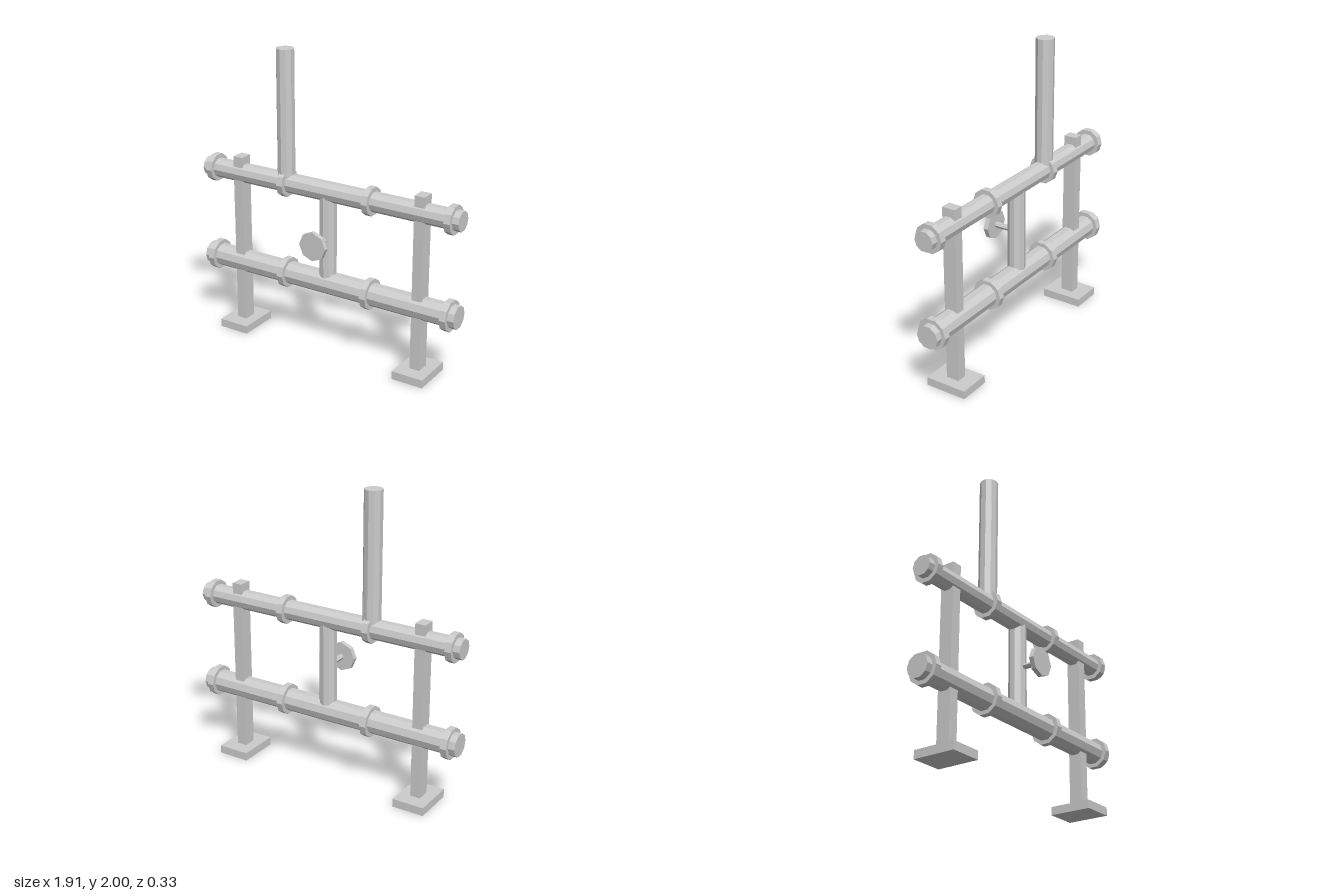
import * as THREE from 'three';

export function createModel() {
  const model = new THREE.Group();
  model.name = 'pipeRack';
  const steel = new THREE.MeshStandardMaterial({ color: 0xcccccc, flatShading: true });
  steel.name = 'grey steel';
  const Z = -0.022; // plane in which the pipework stands

  const add = (name, geometry, x, y, z = Z) => {
    const mesh = new THREE.Mesh(geometry, steel);
    mesh.name = name;
    mesh.position.set(x, y, z);
    model.add(mesh);
    return mesh;
  };
  const alongX = (r, length) => new THREE.CylinderGeometry(r, r, length, 10).rotateZ(Math.PI / 2);
  const upright = (name, x, y0, y1, r) =>
    add(name, new THREE.CylinderGeometry(r, r, y1 - y0, 10), x, (y0 + y1) / 2);

  // Two horizontal pipes, each with four flange rings
  const pipes = [
    { name: 'lower', y: 0.477, r: 0.077, ring: 0.104 },
    { name: 'upper', y: 1.113, r: 0.066, ring: 0.095 },
  ];
  for (const p of pipes) {
    add(p.name + 'Pipe', alongX(p.r, 1.91), 0, p.y);
    for (const x of [-0.89, -0.318, 0.318, 0.89]) {
      add(p.name + 'Flange', alongX(p.ring, 0.043), x, p.y);
    }
  }

  // Tall riser and the short connecting pipe
  upright('riserPipe', -0.32, 1.113, 2, 0.06);
  upright('connectingPipe', 0, 0.477, 1.113, 0.058);

  // Square posts on foot plates
  for (const side of [-1, 1]) {
    add('supportPost', new THREE.BoxGeometry(0.07, 1.18, 0.09), side * 0.681, 0.64);
    add('footPlate', new THREE.BoxGeometry(0.218, 0.055, 0.286), side * 0.681, 0.0275);
  }

  // Valve stem and octagonal handwheel
  const stem = new THREE.CylinderGeometry(0.019, 0.019, 0.14, 6, 1, false, Math.PI / 6);
  add('valveStem', stem.rotateX(Math.PI / 2), 0, 0.795, 0.08);
  const wheel = new THREE.CylinderGeometry(0.098, 0.098, 0.032, 8);
  add('valveHandwheel', wheel.rotateX(Math.PI / 2), 0, 0.795, 0.152);

  return model;
}
